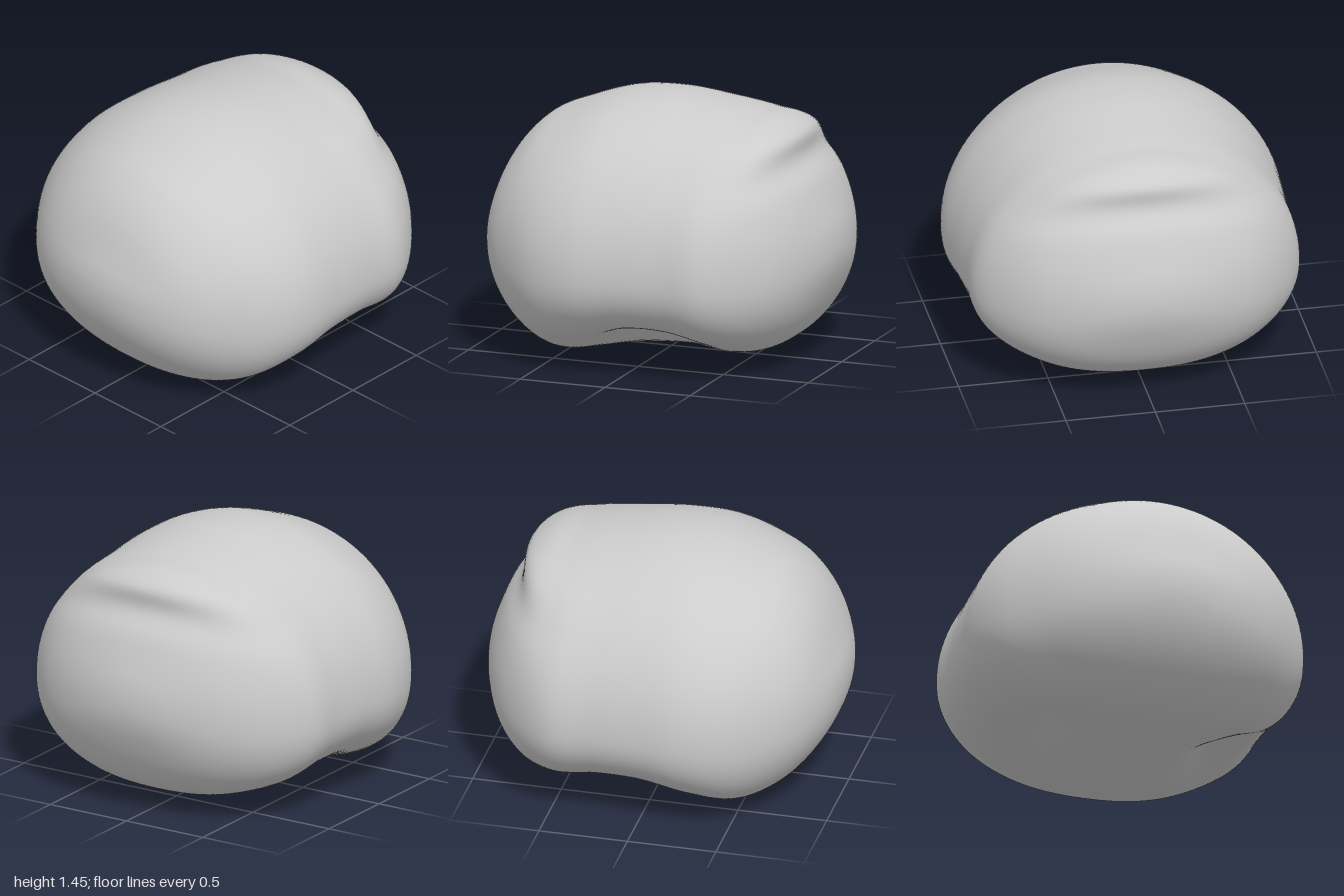
import * as THREE from 'three';
import { mergeVertices } from 'three/addons/utils/BufferGeometryUtils.js';

// Cross-sections every 15 degrees from front pole to back pole: [top y, bottom y, half width]
const SECTIONS = [
  [0.83, 0.46, 0.29], [1.07, 0.27, 0.54], [1.26, 0.10, 0.73], [1.36, 0.005, 0.88],
  [1.435, 0.04, 0.945], [1.452, 0.10, 0.935], [1.425, 0.10, 0.92], [1.385, 0.07, 0.905],
  [1.325, 0.11, 0.77], [1.09, 0.26, 0.565], [0.85, 0.47, 0.29],
];
const midHeight = (z) => 0.58 + 0.07 * z ** 4;
const bell = (d, s) => Math.exp(-((d / s) ** 2));

// Spline through the section sizes, divided by sin so that both ends close roundly
function sectionCurve() {
  const pts = SECTIONS.map(([top, bottom, w], i) => {
    const t = ((i + 1) * Math.PI) / 12;
    const s = Math.sin(t), yc = midHeight(Math.cos(t));
    return new THREE.Vector3((top - yc) / s, (yc - bottom) / s, w / s);
  });
  return (t) => {
    const f = THREE.MathUtils.clamp((t / Math.PI) * 12 - 1, 0, 10);
    const i = Math.min(Math.floor(f), 9), k = f - i;
    const at = (n) => pts[THREE.MathUtils.clamp(n, 0, 10)];
    const mix = (a) => {
      const [p, q, r, s] = [at(i - 1)[a], at(i)[a], at(i + 1)[a], at(i + 2)[a]];
      return q + 0.5 * k * (r - p + k * (2 * p - 5 * q + 4 * r - s + k * (3 * (q - r) + s - p)));
    };
    return [mix('x'), mix('y'), mix('z')];
  };
}

// Brow-like ridge and groove round the back, hollows either side of the underside
function sculpt(p) {
  const back = THREE.MathUtils.smoothstep(-p.z, 0.15, 0.8);
  const line = 1.15 - 0.16 * p.x * p.x;
  const ridge = 0.04 * bell(p.y - line - 0.13, 0.06) * bell(p.x, 0.5);
  const groove = 0.025 * bell(p.y - line, 0.07) * bell(p.x, 0.75);
  const out = new THREE.Vector3(p.x, 0.25 * (p.y - 0.6), p.z).normalize();
  p.addScaledVector(out, back * (ridge - groove));

  if (p.y < 0.58) {
    const under = THREE.MathUtils.smoothstep(0.58 - p.y, 0.1, 0.35);
    const x = Math.abs(p.x);
    const [depth, centre] = p.x > 0 ? [0.085, 0.57] : [0.05, 0.48];
    p.y += under * (depth * bell(x - centre, 0.15) * bell(p.z + 0.08, 0.3)
      - 0.02 * bell(x - 0.3, 0.15) * bell(p.z + 0.05, 0.2));
  }
  return p;
}

function bodyGeometry(rows = 128, cols = 128) {
  const size = sectionCurve(), pos = [], index = [];
  for (let i = 0; i <= rows; i++) {
    const t = (i / rows) * Math.PI, z = Math.cos(t);
    const s = i % rows ? Math.sin(t) : 0;
    const [up, down, w] = size(t);
    for (let j = 0; j < cols; j++) {
      const a = (j / cols) * Math.PI * 2, sa = Math.sin(a), ca = Math.cos(a);
      // the lower half is slightly squarer than an ellipse
      const e = sa < 0 ? 2 / 2.3 : 1;
      const x = w * s * Math.sign(ca) * Math.abs(ca) ** e;
      const y = (sa > 0 ? up : down) * s * Math.sign(sa) * Math.abs(sa) ** e;
      pos.push(...sculpt(new THREE.Vector3(x, midHeight(z) + y, z)).toArray());
      if (i === rows) continue;
      const b = i * cols + ((j + 1) % cols), c = i * cols + j;
      if (i < rows - 1) index.push(c, c + cols, b + cols);
      if (i > 0) index.push(c, b + cols, b);
    }
  }
  let g = new THREE.BufferGeometry();
  g.setAttribute('position', new THREE.Float32BufferAttribute(pos, 3));
  g.setIndex(index);
  g = mergeVertices(g, 1e-5);
  g.computeVertexNormals();
  return g;
}

export function createModel() {
  const group = new THREE.Group();
  group.name = 'roundedShell';
  const body = new THREE.Mesh(bodyGeometry(), new THREE.MeshStandardMaterial({ color: 0xcccccc }));
  body.name = 'body';
  group.add(body);
  return group;
}
